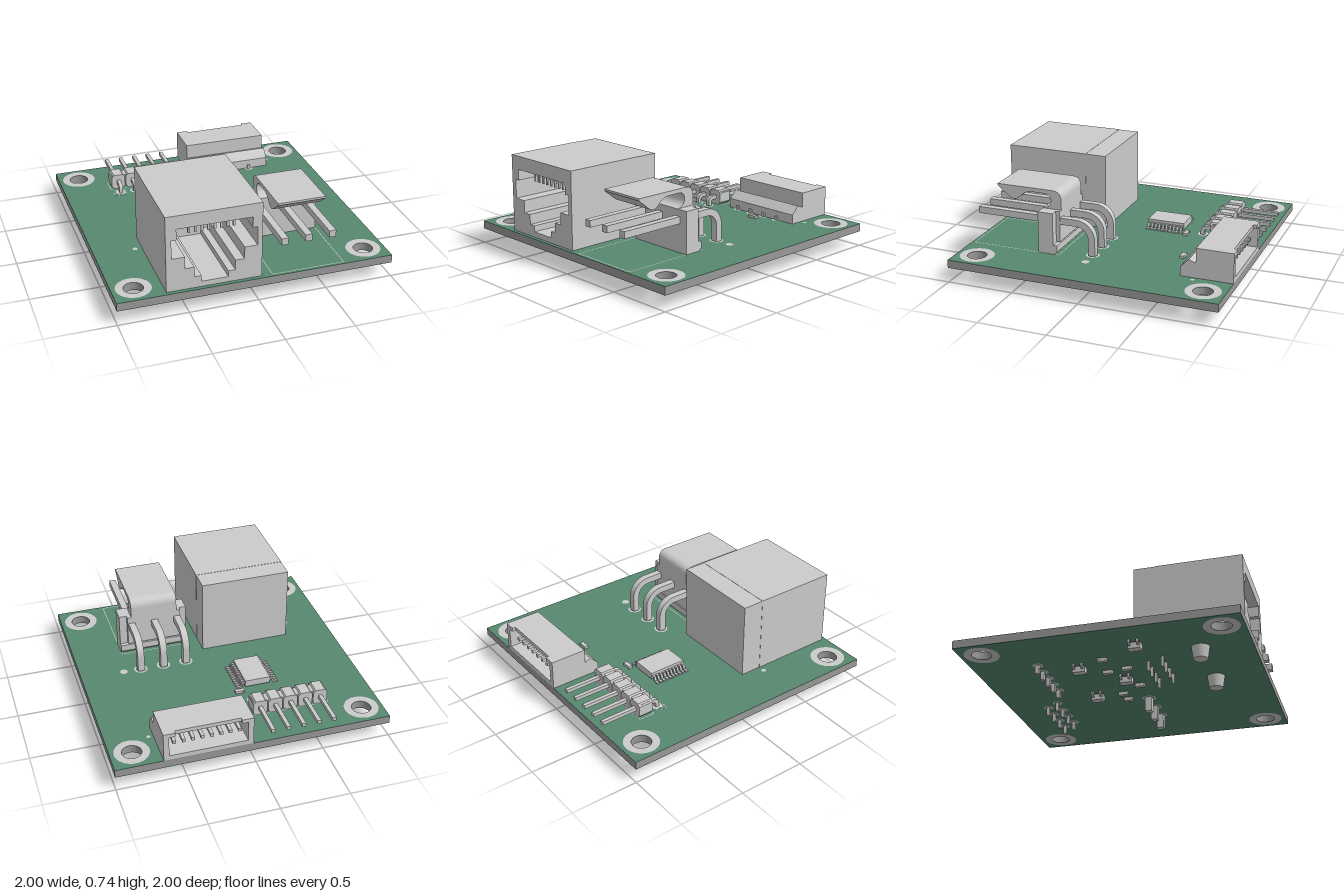
import * as THREE from 'three';

const grey = new THREE.MeshStandardMaterial({ color: 0xcccccc });
const green = new THREE.MeshStandardMaterial({ color: 0x57886f });
const edge = new THREE.MeshStandardMaterial({ color: 0x999999 });
const TOP = 0.17, BOTTOM = 0.11;

function add(parent, name, geo, mat = grey) {
  const m = new THREE.Mesh(geo, mat);
  m.name = name;
  parent.add(m);
  return m;
}
function group(parent, name) {
  const g = new THREE.Group();
  g.name = name;
  parent.add(g);
  return g;
}
// Box given by its limits
function box(parent, name, x0, x1, y0, y1, z0, z1, mat) {
  const geo = new THREE.BoxGeometry(x1 - x0, y1 - y0, z1 - z0);
  geo.translate((x0 + x1) / 2, (y0 + y1) / 2, (z0 + z1) / 2);
  return add(parent, name, geo, mat);
}
const poly = pts => new THREE.Shape(pts.map(p => new THREE.Vector2(...p)));
const rect = (x0, x1, y0, y1) => poly([[x0, y0], [x1, y0], [x1, y1], [x0, y1]]);
// (x, y) outline extruded along z
function alongZ(shape, z0, z1) {
  return new THREE.ExtrudeGeometry(shape, { depth: z1 - z0, bevelEnabled: false }).translate(0, 0, z0);
}
// (z, y) outline extruded along x
function alongX(shape, x0, x1) {
  return new THREE.ExtrudeGeometry(shape, { depth: x1 - x0, bevelEnabled: false, curveSegments: 10 })
    .rotateY(-Math.PI / 2).translate(x1, 0, 0);
}
// Right-angle pin: horizontal from zEnd (at height y), bent down at z = zLeg
function bentPin(parent, x, w, y, zEnd, zLeg, yEnd, r) {
  const h = w / 2, s = Math.sign(zEnd - zLeg), shape = new THREE.Shape();
  const c = [zLeg + s * (r + h), y - r - h];
  shape.moveTo(zEnd, y + h);
  shape.lineTo(c[0], y + h);
  shape.absarc(c[0], c[1], r + w, Math.PI / 2, s > 0 ? Math.PI : 0, s < 0);
  shape.lineTo(zLeg - s * h, yEnd);
  shape.lineTo(zLeg + s * h, yEnd);
  shape.lineTo(zLeg + s * h, c[1]);
  shape.absarc(c[0], c[1], r, s > 0 ? Math.PI : 0, Math.PI / 2, s > 0);
  shape.lineTo(zEnd, y - h);
  add(parent, 'bentPin', alongX(shape, x - h, x + h));
}
// Flat ring or dot on either face of the board
function pad(parent, name, x, z, r0, r1, under = false) {
  const geo = r0 ? new THREE.RingGeometry(r0, r1, 32) : new THREE.CircleGeometry(r1, 24);
  geo.rotateX(under ? Math.PI / 2 : -Math.PI / 2).translate(x, under ? BOTTOM - 0.001 : TOP + 0.001, z);
  add(parent, name, geo);
}
function outline(parent, name, x0, x1, z0, z1, t = 0.005) {
  const s = rect(x0, x1, -z1, -z0);
  s.holes.push(rect(x0 + t, x1 - t, -z1 + t, -z0 - t));
  add(parent, name, new THREE.ShapeGeometry(s).rotateX(-Math.PI / 2).translate(0, TOP + 0.001, 0));
}

function buildBoard(root) {
  const g = group(root, 'circuitBoard');
  const s = rect(-1, 1, -1, 1);
  for (const x of [-0.845, 0.845]) for (const z of [-0.845, 0.845]) {
    s.holes.push(new THREE.Path().absarc(x, -z, 0.07, 0, Math.PI * 2, true));
    pad(g, 'mountingRing', x, z, 0.07, 0.125);
    pad(g, 'mountingRing', x, z, 0.07, 0.125, true);
  }
  const layer = (name, y0, y1, mat) => add(g, name,
    new THREE.ExtrudeGeometry(s, { depth: y1 - y0, bevelEnabled: false, curveSegments: 24 })
      .rotateX(-Math.PI / 2).translate(0, y0, 0), mat);
  layer('boardCore', BOTTOM + 0.002, TOP - 0.002, edge);
  layer('topMask', TOP - 0.002, TOP, green);
  layer('bottomMask', BOTTOM, BOTTOM + 0.002, green);
  // Printed marks
  outline(g, 'powerOutline', 0.105, 0.638, 0.3, 0.98);
  outline(g, 'headerOutline', -0.645, -0.065, -0.715, -0.595);
  box(g, 'cornerMark', -0.638, -0.633, TOP, TOP + 0.001, -0.53, -0.48);
  box(g, 'cornerMark', -0.638, -0.58, TOP, TOP + 0.001, -0.485, -0.48);
  for (const [x, z, r] of [[-0.7, 0.35, 0.018], [0.678, 0.077, 0.028], [0.695, -0.72, 0.014]]) pad(g, 'markDot', x, z, 0, r);
}

// Network jack with stepped opening
function buildJack(root) {
  const g = group(root, 'networkJack');
  const body = rect(-0.65, 0.03, TOP, 0.74);
  const cx = -0.307, half = [[0.303, 0.56], [0.267, 0.56], [0.267, 0.64]];
  const low = [[0.095, 0.21], [0.095, 0.255], [0.145, 0.255], [0.145, 0.33], [0.21, 0.33], [0.21, 0.42], [0.303, 0.42]];
  const side = [...low, ...half];
  body.holes.push(poly([...side.map(([x, y]) => [cx + x, y]), ...side.reverse().map(([x, y]) => [cx - x, y])]));
  add(g, 'jackShell', alongZ(body, 0.35, 0.97));
  box(g, 'jackBack', -0.648, 0.028, TOP, 0.738, 0.19, 0.35);
  for (let i = 0; i < 8; i++) {
    const x = -0.467 + i * 0.0455;
    const wire = poly([[0.9, 0.635], [0.9, 0.62], [0.5, 0.5], [0.5, 0.515]]);
    add(g, 'contactWire', alongX(wire, x - 0.008, x + 0.008));
    box(g, 'contactFinger', x - 0.008, x + 0.008, 0.56, 0.635, 0.89, 0.905);
    const px = -0.49 + i * 0.0515, pz = i % 2 ? 0.24 : 0.355;
    box(g, 'solderPin', px - 0.01, px + 0.01, 0.035, BOTTOM, pz - 0.01, pz + 0.01);
  }
  for (const x of [-0.565, -0.055]) {
    const peg = new THREE.CylinderGeometry(0.064, 0.05, 0.09, 24);
    add(g, 'locatingPeg', peg.translate(x, 0.065, 0.64));
  }
}

// Three-pin power connector with hooked latch
function buildPower(root) {
  const g = group(root, 'powerConnector');
  add(g, 'housing', alongX(poly([[0.46, TOP], [0.46, 0.48], [0.345, 0.48], [0.345, 0.24], [0.315, 0.24], [0.315, 0.19], [0.335, TOP]]), 0.118, 0.637));
  add(g, 'housingBack', alongX(rect(0.315, 0.35, 0.25, 0.48), 0.17, 0.58));
  const s = new THREE.Shape();
  s.moveTo(0.315, 0.46);
  s.lineTo(0.315, 0.55);
  s.quadraticCurveTo(0.315, 0.62, 0.385, 0.62);
  s.lineTo(0.815, 0.62);
  s.lineTo(0.815, 0.605);
  s.lineTo(0.72, 0.53);
  s.quadraticCurveTo(0.68, 0.505, 0.64, 0.54);
  s.quadraticCurveTo(0.6, 0.585, 0.56, 0.59);
  s.lineTo(0.44, 0.59);
  s.quadraticCurveTo(0.395, 0.585, 0.395, 0.54);
  s.quadraticCurveTo(0.395, 0.49, 0.46, 0.48);
  s.lineTo(0.46, 0.46);
  add(g, 'latch', alongX(s, 0.198, 0.55));
  for (const x of [0.197, 0.372, 0.548]) {
    bentPin(g, x, 0.05, 0.405, 0.965, 0.075, 0, 0.09);
    pad(g, 'solderRing', x, 0.075, 0.036, 0.05);
    pad(g, 'solderRing', x, 0.075, 0.036, 0.05, true);
  }
}

// Five-pin right-angle header
function buildHeader(root) {
  const g = group(root, 'pinHeader');
  box(g, 'headerSpine', -0.625, -0.08, TOP + 0.01, 0.275, -0.695, -0.615);
  for (let i = 0; i < 5; i++) {
    const x = -0.58 + i * 0.113;
    const block = poly([[x - 0.053, 0.19], [x - 0.035, TOP], [x + 0.035, TOP], [x + 0.053, 0.19],
      [x + 0.053, 0.265], [x + 0.035, 0.285], [x - 0.035, 0.285], [x - 0.053, 0.265]]);
    add(g, 'headerBlock', alongZ(block, -0.71, -0.6));
    bentPin(g, x, 0.028, 0.228, -0.985, -0.53, 0.045, 0.015);
    if (i) pad(g, 'solderRing', x, -0.53, 0.024, 0.038);
    else box(g, 'squarePad', x - 0.037, x + 0.037, TOP, TOP + 0.001, -0.567, -0.493);
    pad(g, 'solderRing', x, -0.53, 0.02, 0.038, true);
  }
}

// Eight-way signal socket, opening to the back
function buildSocket(root) {
  const g = group(root, 'signalSocket');
  const frame = poly([[0.02, TOP], [0.66, TOP], [0.66, 0.39], [0.02, 0.39]]);
  frame.holes.push(rect(0.06, 0.62, 0.205, 0.36));
  add(g, 'socketFrame', alongZ(frame, -0.975, -0.78));
  const lip = poly([[0.02, TOP], [0.66, TOP], [0.66, 0.39], [0.575, 0.39], [0.575, 0.36], [0.62, 0.36],
    [0.62, 0.205], [0.06, 0.205], [0.06, 0.36], [0.105, 0.36], [0.105, 0.39], [0.02, 0.39]]);
  add(g, 'socketLip', alongZ(lip, -1, -0.975));
  add(g, 'socketRear', alongX(poly([[-0.78, TOP], [-0.62, TOP], [-0.62, 0.24], [-0.68, 0.3], [-0.73, 0.28], [-0.73, 0.39], [-0.78, 0.39]]), 0.02, 0.66));
  for (let i = 0; i < 8; i++) {
    const x = 0.107 + i * 0.0665, z = i % 2 ? -0.715 : -0.62;
    box(g, 'contact', x - 0.012, x + 0.012, 0.265, 0.29, -0.96, -0.77);
    box(g, 'solderPin', x - 0.012, x + 0.012, 0.045, TOP + 0.03, z - 0.012, z + 0.012);
    if (i % 2 === 0) pad(g, 'solderRing', x, z, 0.02, 0.036);
    pad(g, 'solderRing', x, z, 0.02, 0.036, true);
  }
}

// Chip with ten stepped leads per side
function buildChip(root) {
  const g = group(root, 'chip');
  box(g, 'chipBody', -0.315, -0.125, 0.18, 0.23, -0.38, -0.095);
  for (let i = 0; i < 10; i++) for (const s of [-1, 1]) {
    const z = -0.366 + i * 0.0285;
    const lead = poly([[0.09, 0.21], [0.118, 0.21], [0.13, 0.18], [0.16, 0.18], [0.16, TOP], [0.122, TOP], [0.11, 0.2], [0.09, 0.2]]
      .map(([x, y]) => [-0.22 + s * x, y]));
    add(g, 'lead', alongZ(lead, z - 0.009, z + 0.009));
  }
}

// Small surface parts: chip passives and three-leg packages
function passive(root, x, z, alongXAxis, under) {
  const g = group(root, 'passive'), h = under ? 0.025 : 0.02;
  const y0 = under ? BOTTOM - h : TOP;
  const part = (name, a, b, w) => alongXAxis
    ? box(g, name, x + a, x + b, y0, y0 + h, z - w, z + w)
    : box(g, name, x - w, x + w, y0, y0 + h, z + a, z + b);
  part('passiveBody', -0.022, 0.022, 0.015);
  part('endCap', -0.035, -0.022, 0.017);
  part('endCap', 0.022, 0.035, 0.017);
}
function transistor(root, x, z) {
  const g = group(root, 'transistor');
  box(g, 'transistorBody', x - 0.028, x + 0.028, 0.055, 0.1, z - 0.045, z + 0.045);
  for (const [s, dz] of [[-1, -0.03], [-1, 0.03], [1, 0]]) {
    box(g, 'leg', x + s * 0.038 - 0.012, x + s * 0.038 + 0.012, 0.075, 0.085, z + dz - 0.008, z + dz + 0.008);
    box(g, 'foot', x + s * 0.05 - 0.008, x + s * 0.05 + 0.008, 0.085, BOTTOM, z + dz - 0.008, z + dz + 0.008);
  }
}

export function createModel() {
  const root = new THREE.Group();
  root.name = 'circuitBoardAssembly';
  [buildBoard, buildJack, buildPower, buildHeader, buildSocket, buildChip].forEach(f => f(root));
  passive(root, 0.34, -0.535, true, false);
  passive(root, -0.07, -0.418, true, false);
  for (const [x, z] of [[0.15, -0.07], [0.04, -0.08], [-0.08, 0.08], [-0.39, 0.07], [-0.36, -0.08], [-0.57, -0.06]]) passive(root, x, z, false, true);
  for (const [x, z] of [[0.02, -0.27], [-0.23, 0.02], [-0.49, -0.25], [-0.76, 0.23]]) transistor(root, x, z);
  return root;
}
